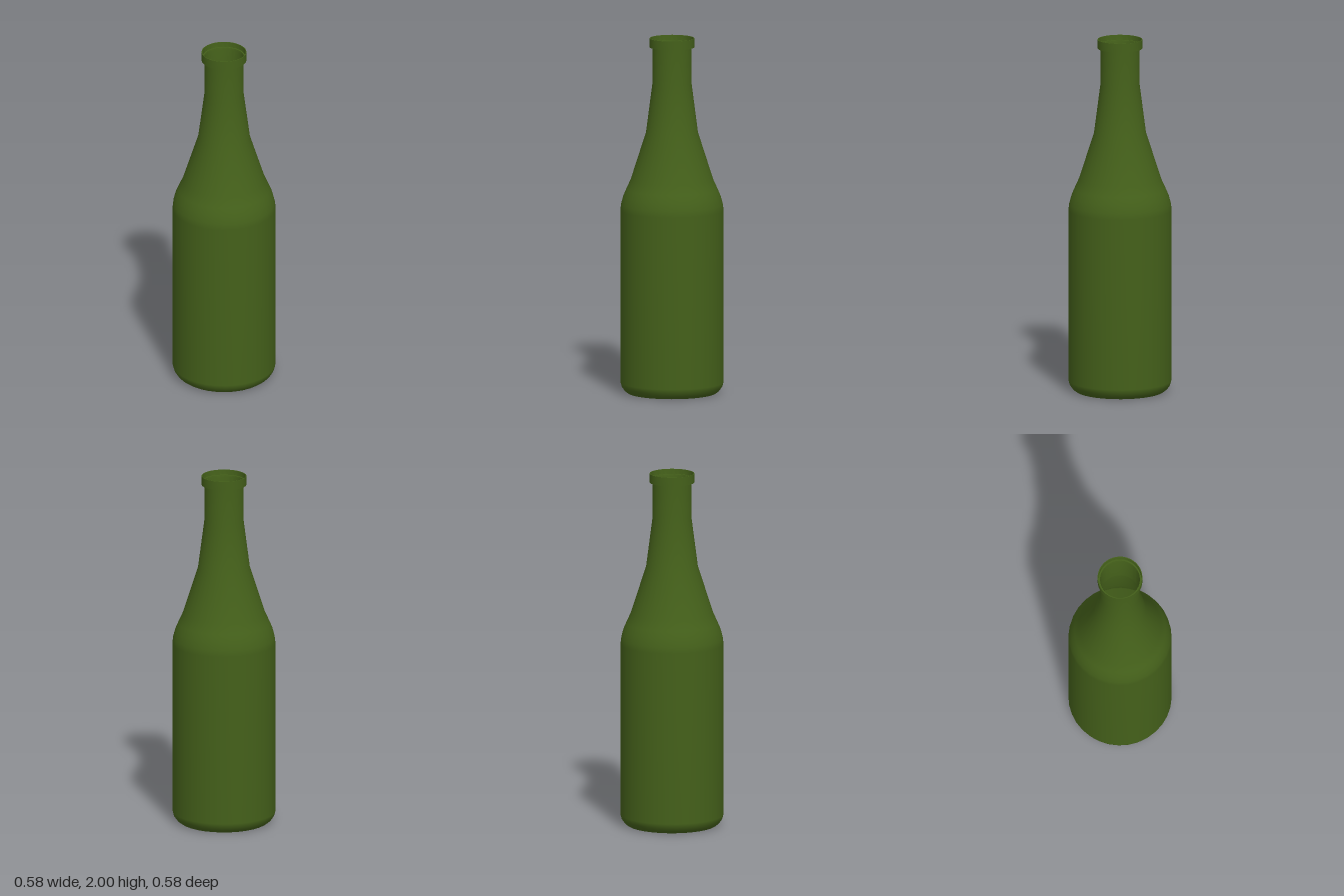
import * as THREE from 'three';
import { toCreasedNormals } from 'three/addons/utils/BufferGeometryUtils.js';

const glass = new THREE.MeshStandardMaterial({ color: 0x44601a, side: THREE.DoubleSide });

// Turn a [radius, height] profile around the y axis
function turned(name, profile, sides, crease) {
  let geometry = new THREE.LatheGeometry(profile.map(([r, y]) => new THREE.Vector2(r, y)), sides);
  if (crease) geometry = toCreasedNormals(geometry, crease);
  const mesh = new THREE.Mesh(geometry, glass);
  mesh.name = name;
  return mesh;
}

export function createModel() {
  const bottle = new THREE.Group();
  bottle.name = 'bottle';

  // Flat underside
  bottle.add(turned('base', [[0, 0], [0.247, 0]], 32));

  // Rounded heel, straight body, sloping shoulder and neck
  bottle.add(turned('body', [
    [0.247, 0], [0.266, 0.014], [0.281, 0.035], [0.288, 0.06],
    [0.288, 1.03], [0.284, 1.065], [0.272, 1.11], [0.255, 1.15], [0.23, 1.205],
    [0.145, 1.47], [0.11, 1.74], [0.11, 1.96],
  ], 32));

  // Raised lip around the mouth, with a ledge sunk just below its rim
  bottle.add(turned('lip', [
    [0.11, 1.95], [0.125, 1.95], [0.125, 2], [0.121, 2], [0.119, 1.972],
    [0.111, 1.972], [0.108, 1.96], [0.108, 1.74],
  ], 64, Math.PI / 6));

  return bottle;
}
